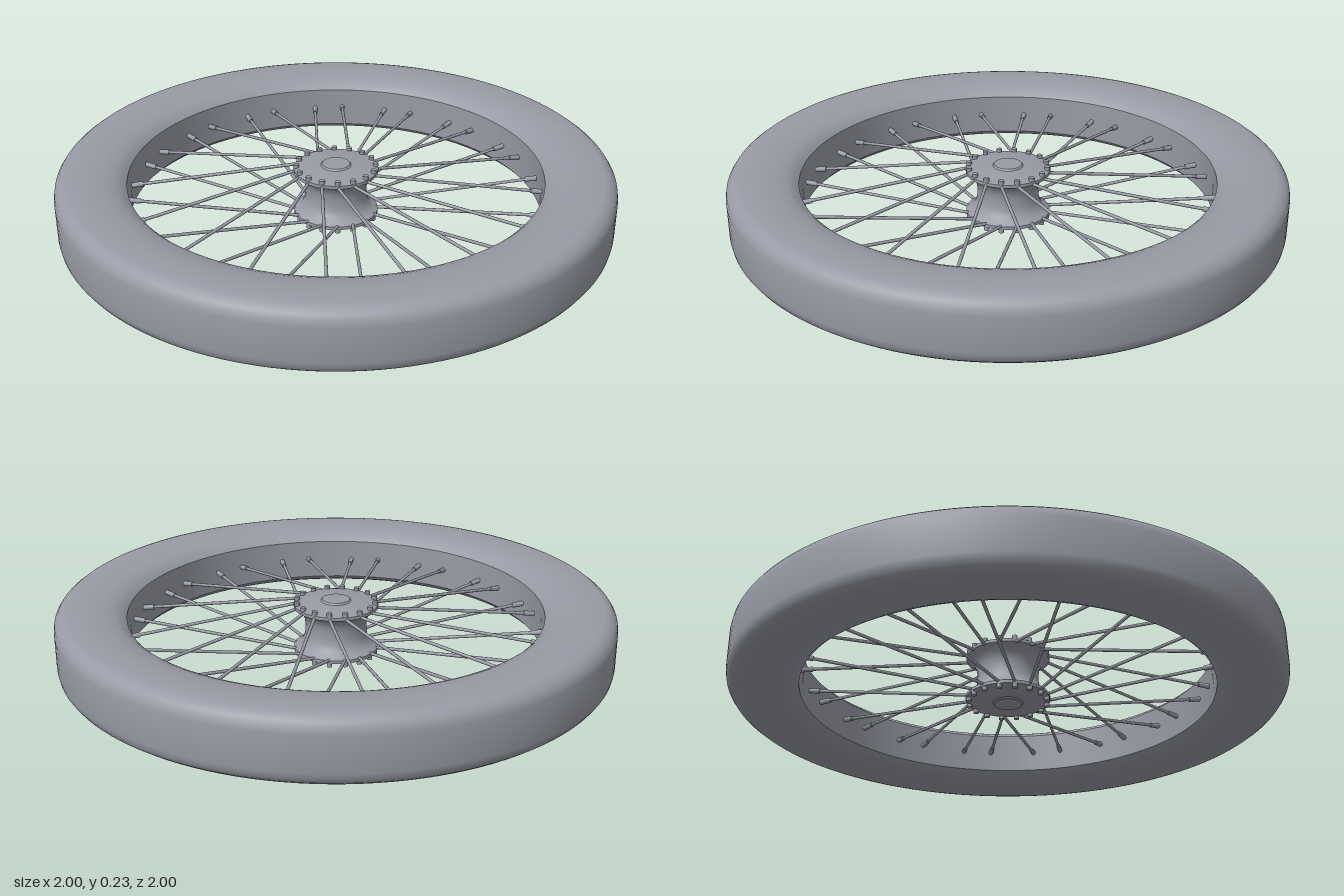
import * as THREE from 'three';
import { toCreasedNormals } from 'three/addons/utils/BufferGeometryUtils.js';

const MID = 0.1175;      // mid-plane height
const PAIRS = 16;        // parallel spoke pairs
const STEP = (Math.PI * 2) / PAIRS;
const START = THREE.MathUtils.degToRad(-5.8);

// Surface of revolution from [radius, height] pairs, with sharp creases kept
function turned(name, profile, material, segments, crease = 0.6) {
  const points = profile.map(([r, y]) => new THREE.Vector2(r, y));
  const geometry = toCreasedNormals(new THREE.LatheGeometry(points, segments), crease);
  const mesh = new THREE.Mesh(geometry, material);
  mesh.name = name;
  return mesh;
}

// Profile of the lower half followed by its mirror image above the mid-plane
function mirrored(half) {
  return [...half, ...half.map(([r, y]) => [r, 2 * MID - y]).reverse()];
}

// Round bar between two points
function bar(name, a, b, radius, material) {
  const dir = b.clone().sub(a);
  const mesh = new THREE.Mesh(new THREE.CylinderGeometry(radius, radius, dir.length(), 10), material);
  mesh.name = name;
  mesh.position.copy(a).add(b).multiplyScalar(0.5);
  mesh.quaternion.setFromUnitVectors(new THREE.Vector3(0, 1, 0), dir.normalize());
  return mesh;
}

function polar(angle, radius, y) {
  return new THREE.Vector3(Math.cos(angle) * radius, y, Math.sin(angle) * radius);
}

export function createModel() {
  const model = new THREE.Group();
  model.name = 'spokedWheel';
  const metal = new THREE.MeshStandardMaterial({ color: 0x989ba5 });
  metal.name = 'grey';

  // Tyre: crowned sides, rounded shoulders and a flat tread
  model.add(turned('tyre', mirrored([
    [0.747, 0.041], [0.765, 0.024], [0.79, 0.013], [0.83, 0.004], [0.88, 0],
    [0.95, 0], [0.968, 0.005], [0.985, 0.018], [0.996, 0.034], [1, 0.055],
  ]), metal, 128));

  // Inner face of the rim
  model.add(turned('rim', [[0.747, 0.194], [0.747, 0.041]], metal, 128));

  // Hub: waisted spool with a flange and a shallow cap at each end
  model.add(turned('hub', mirrored([
    [0, 0.012], [0.05, 0.014], [0.055, 0.02], [0.135, 0.026], [0.153, 0.03],
    [0.153, 0.042], [0.135, 0.052], [0.122, 0.066], [0.114, 0.085], [0.111, 0.105],
  ]), metal, 48));

  // Spokes: one of each parallel pair goes to the upper flange, one to the lower
  const spokes = new THREE.Group();
  spokes.name = 'spokes';
  for (let i = 0; i < PAIRS; i++) {
    for (const side of [1, -1]) {
      const centre = START + i * STEP;
      const headAngle = centre + side * STEP;
      const flangeY = MID + side * 0.078;
      const head = polar(headAngle, 0.143, flangeY);
      const end = polar(centre + side * 0.0755, 0.752, MID);
      spokes.add(bar('spoke', head, end, 0.0058, metal));

      // Nipple at the rim
      const nipple = end.clone().lerp(head, 0.075);
      spokes.add(bar('nipple', nipple, end, 0.0095, metal));

      // Bent spoke head passing through the flange
      const tip = polar(headAngle, 0.143, MID + side * 0.102);
      spokes.add(bar('spokeHead', head, tip, 0.01, metal));
    }
  }
  model.add(spokes);
  return model;
}
